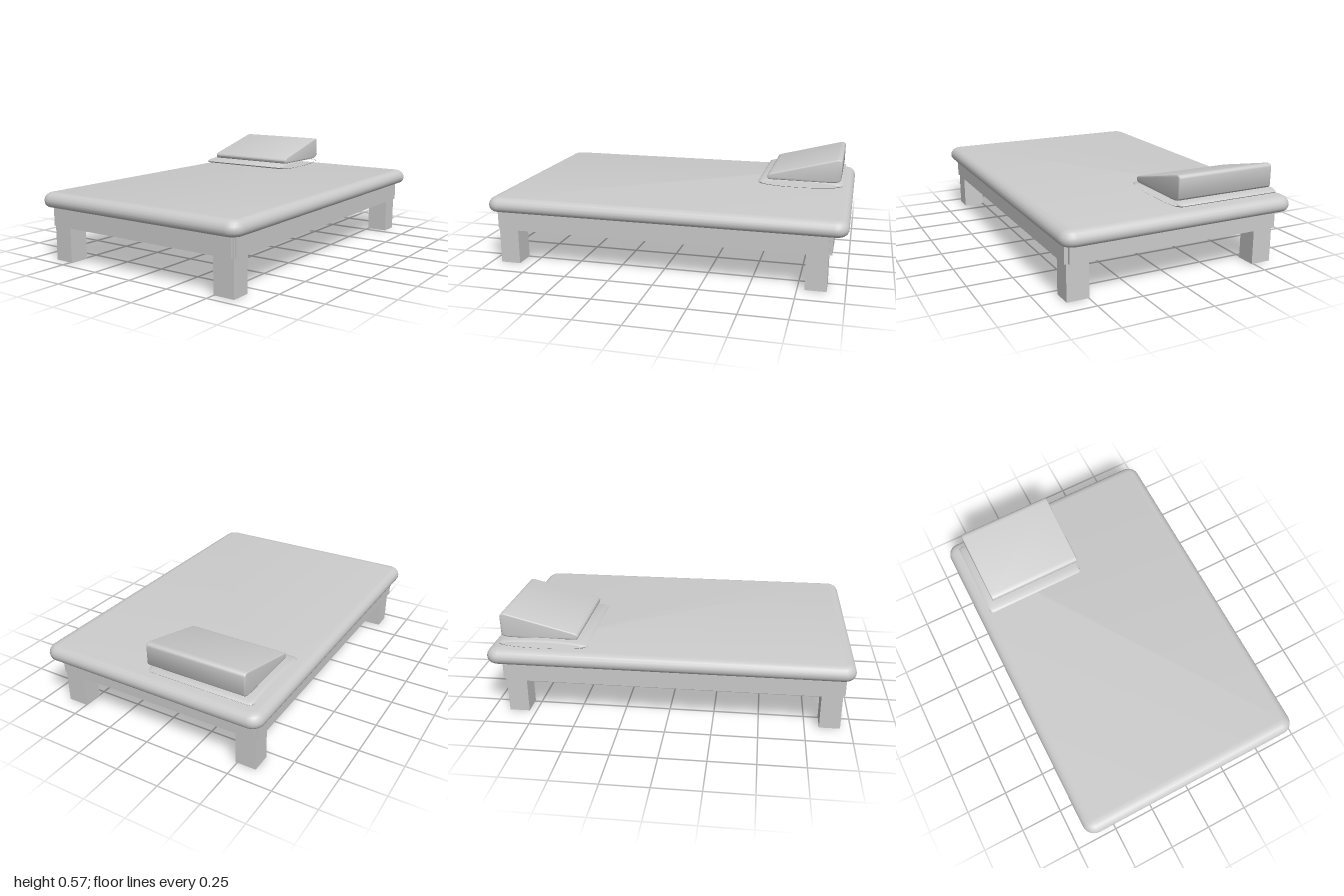
import * as THREE from 'three';
import { toCreasedNormals } from 'three/addons/utils/BufferGeometryUtils.js';

const grey = new THREE.MeshStandardMaterial({ color: 0xcccccc });

function add(parent, name, geometry) {
  const mesh = new THREE.Mesh(geometry, grey);
  mesh.name = name;
  parent.add(mesh);
  return mesh;
}

// Box given by its extents on each axis
function block(parent, name, [x0, x1], [y0, y1], [z0, z1]) {
  const mesh = add(parent, name, new THREE.BoxGeometry(x1 - x0, y1 - y0, z1 - z0));
  mesh.position.set((x0 + x1) / 2, (y0 + y1) / 2, (z0 + z1) / 2);
}

// Skin through closed rings with equal point counts, optionally capped
function loft(rings, capped, crease) {
  const n = rings[0].length;
  const pos = rings.flat(2);
  const index = [];
  for (let i = 0; i < rings.length - 1; i++) {
    for (let j = 0; j < n; j++) {
      const k = (j + 1) % n;
      const a = i * n + j, b = i * n + k, c = a + n, d = b + n;
      index.push(a, c, b, b, c, d);
    }
  }
  if (capped) {
    const top = (rings.length - 1) * n;
    for (let j = 1; j < n - 1; j++) {
      index.push(0, j, j + 1);
      index.push(top, top + j + 1, top + j);
    }
  }
  const geo = new THREE.BufferGeometry();
  geo.setAttribute('position', new THREE.Float32BufferAttribute(pos, 3));
  geo.setIndex(index);
  return toCreasedNormals(geo, crease);
}

// Horizontal rounded rectangle at height y
function roundedRing(hx, hz, r, y, steps = 6) {
  const points = [];
  const corners = [[1, 1], [-1, 1], [-1, -1], [1, -1]];
  corners.forEach(([sx, sz], q) => {
    for (let s = 0; s <= steps; s++) {
      const a = (q + s / steps) * Math.PI / 2;
      points.push([sx * (hx - r) + r * Math.cos(a), y, sz * (hz - r) + r * Math.sin(a)]);
    }
  });
  return points;
}

// Lens-shaped upright ring at position x
function lensRing(x, rz, ry) {
  const points = [];
  for (let j = 0; j < 32; j++) {
    const a = j / 32 * Math.PI * 2;
    points.push([x, 0.41 + ry * Math.sin(a), -0.69 + rz * Math.cos(a)]);
  }
  return points;
}

export function createModel() {
  const model = new THREE.Group();
  model.name = 'bed';

  // Mattress: flat underside, bulging sides, softly rounded top
  const profile = [
    [0.018, 0.31], [0.008, 0.318], [0.002, 0.33], [0, 0.345], [0.004, 0.361],
    [0.014, 0.376], [0.03, 0.386], [0.05, 0.39],
  ];
  const rings = profile.map(([inset, y]) =>
    roundedRing(0.672 - inset, 1 - inset, 0.07 - inset, y));
  add(model, 'mattress', loft(rings, true, 0.6));

  // Frame rails
  const frame = new THREE.Group();
  frame.name = 'frame';
  model.add(frame);
  const railY = [0.2, 0.312];
  block(frame, 'rightRail', [-0.625, -0.605], railY, [-0.905, 0.937]);
  block(frame, 'leftRail', [0.61, 0.63], railY, [-0.905, 0.937]);
  block(frame, 'frontRail', [-0.605, 0.61], railY, [0.937, 0.955]);
  block(frame, 'backRail', [-0.605, 0.61], railY, [-0.922, -0.905]);

  // Legs in the four inner corners
  for (const [side, x] of [['Right', [-0.608, -0.49]], ['Left', [0.498, 0.62]]]) {
    block(frame, 'front' + side + 'Leg', x, [0, 0.31], [0.83, 0.943]);
    block(frame, 'back' + side + 'Leg', x, [0, 0.31], [-0.903, -0.79]);
  }

  // Flat lower cushion with open, slightly narrowed ends
  add(model, 'lowerCushion', loft([
    lensRing(-0.603, 0.226, 0.018), lensRing(-0.598, 0.243, 0.022), lensRing(-0.585, 0.25, 0.025),
    lensRing(-0.005, 0.25, 0.025), lensRing(0.006, 0.243, 0.022), lensRing(0.011, 0.226, 0.018),
  ], false, 0.7));

  // Wedge pillow: side profile (-z, y) extruded along x
  const bevel = 0.007;
  const wedge = new THREE.Shape();
  wedge.moveTo(0.515, 0.438);
  wedge.lineTo(0.86, 0.436);
  wedge.quadraticCurveTo(0.915, 0.436, 0.922, 0.45);
  wedge.lineTo(0.924, 0.55);
  wedge.quadraticCurveTo(0.924, 0.563, 0.9, 0.56);
  wedge.lineTo(0.53, 0.465);
  wedge.quadraticCurveTo(0.505, 0.459, 0.504, 0.45);
  wedge.quadraticCurveTo(0.504, 0.438, 0.515, 0.438);
  const wedgeGeo = new THREE.ExtrudeGeometry(wedge, {
    depth: 0.575 - 2 * bevel, bevelThickness: bevel, bevelSize: bevel,
    bevelSegments: 3, curveSegments: 6,
  });
  wedgeGeo.rotateY(Math.PI / 2);
  wedgeGeo.translate(-0.56 + bevel, 0, 0);
  add(model, 'wedgePillow', toCreasedNormals(wedgeGeo, 0.7));

  return model;
}
